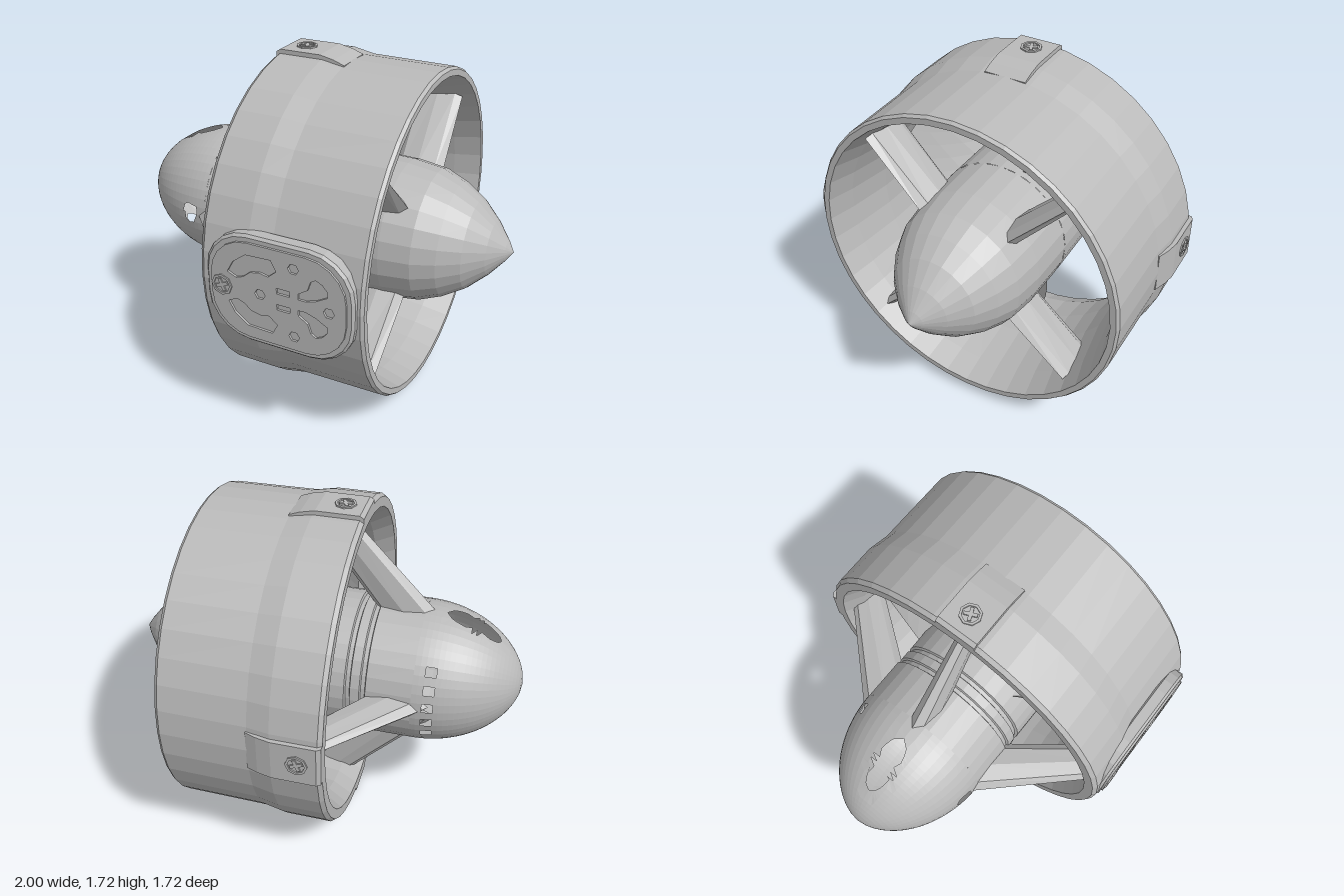
import * as THREE from 'three';

const AXIS_Y = 0.86;
const HUB_R = 0.355;
const V = (a) => a.map(([x, y]) => new THREE.Vector2(x, y));
const lerp = THREE.MathUtils.lerp;

export function createModel() {
  const model = new THREE.Group();
  const body = new THREE.Group(); // everything is built around the x axis, then lifted
  body.name = 'ductedFan';
  body.position.y = AXIS_Y;
  model.add(body);

  const grey = new THREE.MeshStandardMaterial({ color: 0xbababa, flatShading: true, side: THREE.DoubleSide });
  grey.name = 'grey';

  const add = (geometry, name, parent = body) => {
    const mesh = new THREE.Mesh(geometry, grey);
    mesh.name = name;
    parent.add(mesh);
    return mesh;
  };
  // Profile points are [radius, x]
  const spin = (points, segments) => new THREE.LatheGeometry(V(points), segments).rotateZ(-Math.PI / 2);

  // Duct ring
  add(spin([
    [0.775, -0.2], [0.825, -0.2], [0.84, -0.18], [0.84, 0.04], [0.82, 0.15], [0.816, 0.575], [0.805, 0.59],
    [0.775, 0.59], [0.74, 0.45], [0.705, 0.22], [0.7, 0.05], [0.72, -0.1], [0.775, -0.2],
  ], 40), 'ductRing');

  // Motor pod with a rounded, hollow nose
  const noseRadius = (x) => (x > -0.5 ? HUB_R : HUB_R * Math.pow(Math.max(0, 1 - ((x + 0.5) / 0.5) ** 2), 0.56));
  add(nose(noseRadius), 'motorPodNose');
  add(spin([[HUB_R, -0.5], [HUB_R, -0.28], [0.34, -0.275], [0.34, -0.255], [0.352, -0.25], [0.352, -0.205],
    [0.338, -0.2], [0.338, -0.18], [0.352, -0.175], [HUB_R, 0.2]], 32), 'motorPodBody');

  // Pointed tail cone
  add(spin([[HUB_R, 0.2], [0.35, 0.45], [0.33, 0.6], [0.285, 0.71], [0.222, 0.81], [0.135, 0.9],
    [0.05, 0.968], [0, 1]], 24), 'tailCone');

  // Struts: lens-shaped bars swept from pod to ring; section = [radius, xMin, xMax, half thickness]
  const strut = (base, tip, angle, name) => {
    const g = new THREE.CylinderGeometry(1, 1, 1, 8);
    const p = g.attributes.position;
    for (let i = 0; i < p.count; i++) {
      const t = p.getY(i) + 0.5;
      const [r, x0, x1, h] = base.map((b, k) => lerp(b, tip[k], t));
      p.setXYZ(i, lerp(x0, x1, (p.getX(i) + 1) / 2), r, p.getZ(i) * h);
    }
    add(g, name).rotation.x = angle;
  };
  for (let i = 0; i < 4; i++) {
    const a = (i * Math.PI) / 2;
    strut([0.31, -0.58, -0.27, 0.055], [0.75, -0.16, 0.06, 0.033], a, 'intakeStrut');
    strut([0.31, 0.3, 0.55, 0.048], [0.75, 0.28, 0.53, 0.03], a + Math.PI / 4, 'outletStrut');
  }

  // Propeller blades: curved, pitched sheets
  for (let i = 0; i < 3; i++) {
    const g = new THREE.PlaneGeometry(1, 1, 4, 5);
    const p = g.attributes.position;
    for (let k = 0; k < p.count; k++) {
      const u = p.getX(k) + 0.5;
      const t = p.getY(k) + 0.5;
      const z = lerp(lerp(0.09, 0.13, t), lerp(-0.25, -0.12, t * t), u);
      const r = lerp(0.27, 0.67, t) + 0.015 * Math.sin(u * Math.PI) * t;
      p.setXYZ(k, (u - 0.5) * lerp(0.3, 0.14, t) + 0.03, -r, z);
    }
    add(g, 'propellerBlade').rotation.x = (i * Math.PI * 2) / 3;
  }

  // Screw facing +z: hexagonal collar with a cross slot bar
  const screw = (parent, x, z) => {
    const s = new THREE.Group();
    s.name = 'screw';
    s.position.set(x, 0, z);
    parent.add(s);
    const collar = new THREE.Shape(circle(0, 0, 0.052, 8));
    collar.holes.push(new THREE.Path(circle(0, 0, 0.04, 8)));
    add(new THREE.ExtrudeGeometry(collar, { depth: 0.007, bevelEnabled: false }), 'screwCollar', s);
    for (const a of [0.4, 0.4 + Math.PI / 2]) {
      const bar = add(new THREE.BoxGeometry(0.062, 0.016, 0.007), 'screwCross', s);
      bar.position.z = 0.0035;
      bar.rotation.z = a;
    }
  };

  // Mounting pads on top, bottom and back, each with a screw
  const padShape = new THREE.Shape(V([[-0.2, 0.79], [0.15, 0.79], [0.155, 0.818], [0.1, 0.838], [0.03, 0.853],
    [-0.18, 0.853], [-0.2, 0.84]]));
  for (const a of [-Math.PI / 2, Math.PI / 2, Math.PI]) {
    const pad = new THREE.Group();
    pad.name = 'mountingPad';
    pad.rotation.x = a;
    body.add(pad);
    const g = new THREE.ExtrudeGeometry(padShape, { depth: 0.21, bevelEnabled: false });
    add(g.translate(0, 0, -0.105).rotateX(Math.PI / 2), 'padBlock', pad);
    screw(pad, -0.09, 0.853);
  }

  // Service plate on the front: base, and a lid with cut-outs
  const plate = new THREE.Group();
  plate.name = 'servicePlate';
  body.add(plate);
  const base = new THREE.ExtrudeGeometry(new THREE.Shape(rounded(-0.15, 0.55, 0.26, 0.2)), {
    depth: 0.05, bevelThickness: 0.012, bevelSize: 0.012, bevelSegments: 1 });
  add(base.translate(0, 0, 0.782), 'plateBase', plate);

  const lid = new THREE.Shape(rounded(-0.13, 0.53, 0.24, 0.19));
  const slots = [
    [[-0.045, 0.075], [-0.015, 0.13], [0.05, 0.18], [0.175, 0.185], [0.2, 0.135], [0.16, 0.1], [0.117, 0.108],
      [0.07, 0.098], [0.035, 0.068], [0, 0.055]],
    [[0.305, 0.055], [0.35, 0.085], [0.365, 0.13], [0.39, 0.145], [0.42, 0.13], [0.445, 0.1], [0.445, 0.075],
      [0.39, 0.043], [0.34, 0.027], [0.305, 0.027]],
    [[0.2, 0.027], [0.265, 0.027], [0.265, 0.055], [0.2, 0.055]],
  ];
  for (const s of slots) {
    for (const m of [1, -1]) lid.holes.push(new THREE.Path(V(s.map(([x, y]) => [x, y * m]))));
  }
  for (const [x, y] of [[0.117, 0], [0.283, 0.17], [0.283, -0.17], [0.45, 0]]) {
    lid.holes.push(new THREE.Path(circle(x, y, 0.026, 6)));
  }
  add(new THREE.ExtrudeGeometry(lid, { depth: 0.024, bevelEnabled: false }).translate(0, 0, 0.83), 'plateLid', plate);
  screw(plate, -0.075, 0.853);

  return model;
}

function circle(x, y, r, n) {
  return Array.from({ length: n }, (_, i) => {
    const a = (i / n) * Math.PI * 2;
    return new THREE.Vector2(x + r * Math.cos(a), y + r * Math.sin(a));
  });
}

// Rounded rectangle outline from x0 to x1 and -h to h
function rounded(x0, x1, h, r) {
  const out = [];
  const corners = [[x1 - r, h - r], [x0 + r, h - r], [x0 + r, r - h], [x1 - r, r - h]];
  corners.forEach(([x, y], c) => {
    for (let i = 0; i <= 5; i++) {
      const a = ((c + i / 5) * Math.PI) / 2;
      out.push(new THREE.Vector2(x + r * Math.cos(a), y + r * Math.sin(a)));
    }
  });
  return out;
}

// Nose shell with oval openings above, below and in front, and a row of vents behind
function nose(radiusAt) {
  const rows = 24;
  const segments = 48;
  const profile = [];
  for (let i = 0; i <= rows; i++) {
    const x = -1 + 0.5 * Math.pow(i / rows, 1.3);
    profile.push(new THREE.Vector2(radiusAt(x), x));
  }
  const g = new THREE.LatheGeometry(profile, segments).rotateZ(-Math.PI / 2).toNonIndexed();
  const p = g.attributes.position;
  const holes = [ // [direction angle from +y towards +z, x centre, half length, half width]
    [0, -0.735, 0.135, 0.06], [Math.PI, -0.735, 0.135, 0.06], [Math.PI / 2, -0.6, 0.045, 0.055],
  ];
  const wrap = (a) => Math.atan2(Math.sin(a), Math.cos(a));
  const local = (x, y, z, [dir, cx, hx, hw]) => {
    const w = wrap(Math.atan2(z, y) - dir) * radiusAt(x);
    return [(x - cx) / hx, w / hw];
  };
  // Pull nearby vertices onto each oval edge
  for (let i = 0; i < p.count; i++) {
    for (const hole of holes) {
      const [u, v] = local(p.getX(i), p.getY(i), p.getZ(i), hole);
      const d = Math.hypot(u, v);
      if (d < 0.7 || d > 1.3) continue;
      const x = hole[1] + (u / d) * hole[2];
      const r = radiusAt(x);
      const a = hole[0] + ((v / d) * hole[3]) / r;
      p.setXYZ(i, x, r * Math.cos(a), r * Math.sin(a));
    }
  }
  // Keep only triangles outside the openings
  const keep = [];
  for (let i = 0; i < p.count; i += 3) {
    const c = [0, 1, 2].map((k) => (p.array[i * 3 + k] + p.array[i * 3 + 3 + k] + p.array[i * 3 + 6 + k]) / 3);
    const open = holes.some((h) => Math.hypot(...local(...c, h)) < 0.98);
    const back = wrap(Math.atan2(c[2], c[1]) + Math.PI / 2);
    const step = Math.floor((back / (Math.PI * 2)) * segments + 100);
    const vent = c[0] > -0.605 && c[0] < -0.555 && Math.abs(back) < 0.62 && step % 2 === 0;
    if (!open && !vent) keep.push(...p.array.slice(i * 3, i * 3 + 9));
  }
  const out = new THREE.BufferGeometry();
  out.setAttribute('position', new THREE.Float32BufferAttribute(keep, 3));
  out.computeVertexNormals();
  return out;
}
